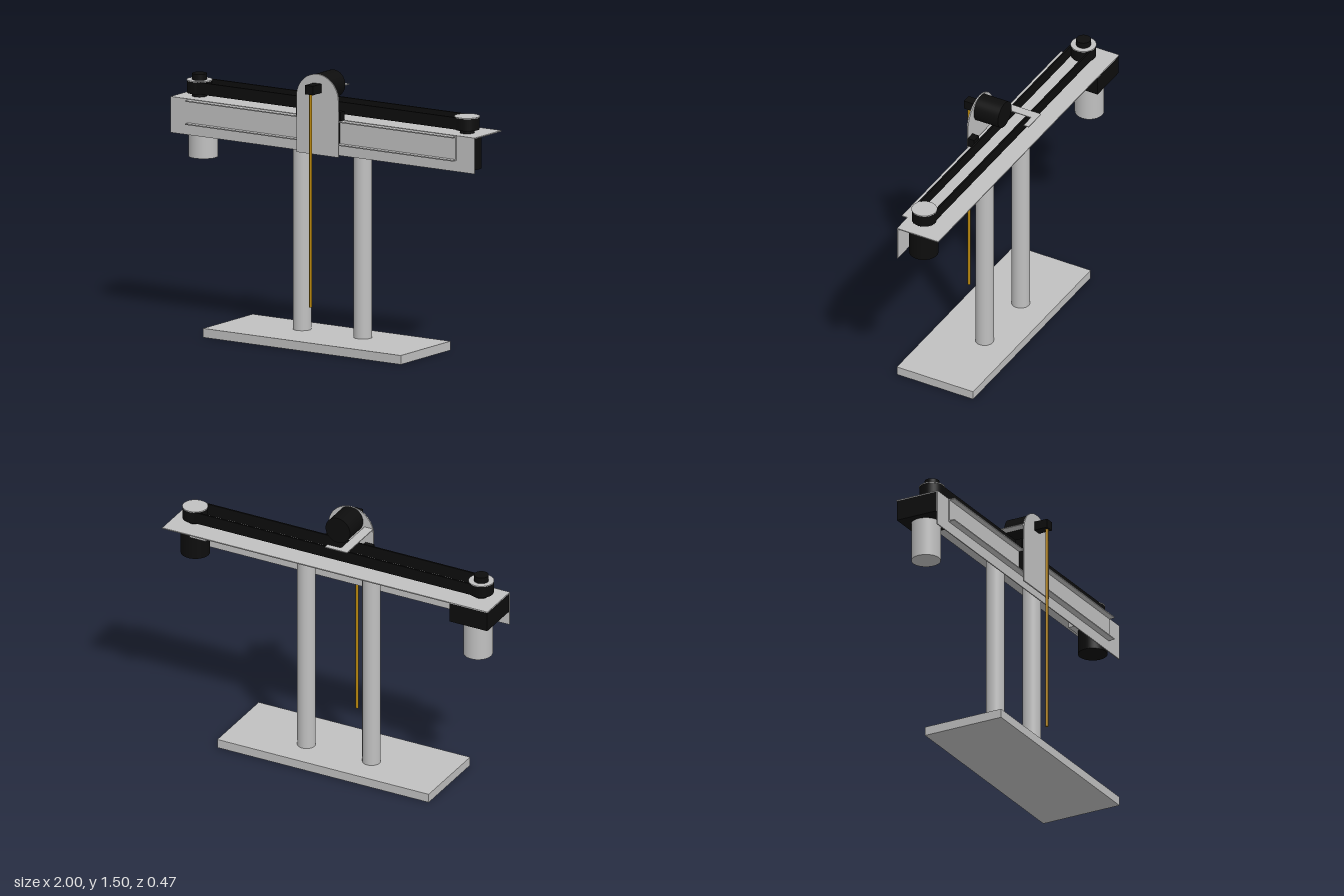
import * as THREE from 'three';

export function createModel() {
  const model = new THREE.Group();
  const paint = (name, color) => Object.assign(new THREE.MeshStandardMaterial({ color }), { name });
  const grey = paint('silver grey', 0xc0c0c0);
  const black = paint('black', 0x0d0d0d);
  const brass = paint('brass', 0xb8860b);

  const add = (name, geometry, material, parent = model) => {
    const mesh = new THREE.Mesh(geometry, material);
    mesh.name = name;
    parent.add(mesh);
    return mesh;
  };
  // Box given by its limits on each axis
  const box = (name, material, [x0, x1], [y0, y1], [z0, z1], parent) => {
    const g = new THREE.BoxGeometry(x1 - x0, y1 - y0, z1 - z0);
    g.translate((x0 + x1) / 2, (y0 + y1) / 2, (z0 + z1) / 2);
    return add(name, g, material, parent);
  };
  // Upright cylinder between two heights
  const post = (name, material, r, x, z, y0, y1, parent) => {
    const g = new THREE.CylinderGeometry(r, r, y1 - y0, 40);
    g.translate(x, (y0 + y1) / 2, z);
    return add(name, g, material, parent);
  };

  // Stand
  box('base', grey, [-0.65, 0.65], [0, 0.05], [-0.237, 0.237]);
  for (const x of [-0.2, 0.2]) post('column', grey, 0.05, x, -0.055, 0.05, 1.255);

  // Angle beam
  box('beamTop', grey, [-1, 1], [1.253, 1.259], [-0.217, 0.04]);
  box('beamFront', grey, [-1, 1], [1.06, 1.253], [0.034, 0.04]);

  // Channel rail on the beam front
  const rail = new THREE.Group();
  rail.name = 'rail';
  model.add(rail);
  box('railWeb', grey, [-0.88, 0.88], [1.122, 1.256], [0.04, 0.046], rail);
  for (const y of [1.122, 1.25])
    box('railFlange', grey, [-0.88, 0.88], [y, y + 0.006], [0.046, 0.077], rail);

  // Drive at the right end, idler at the left end
  box('gearbox', black, [-0.998, -0.765], [1.14, 1.253], [-0.215, 0.033]);
  post('driveMotor', grey, 0.08, -0.88, -0.1, 0.92, 1.14);
  post('idlerHousing', black, 0.08, 0.88, -0.06, 1.065, 1.253);
  box('idlerBracket', grey, [0.77, 0.87], [1.2, 1.253], [-0.148, 0.0]);

  // Pulleys
  const pulleyZ = -0.063;
  for (const x of [-0.88, 0.88]) {
    post('pulleyShaft', black, 0.04, x, pulleyZ, 1.259, 1.28);
    post('pulley', black, 0.068, x, pulleyZ, 1.279, 1.346);
    post('pulleyCap', grey, 0.07, x, pulleyZ, 1.346, 1.351);
  }
  post('driveShaftEnd', black, 0.04, -0.88, pulleyZ, 1.351, 1.385);

  // Belt: a hollow stadium loop
  const stadium = (path, r) => {
    path.absarc(0.88, 0, r, -Math.PI / 2, Math.PI / 2, false);
    path.absarc(-0.88, 0, r, Math.PI / 2, Math.PI * 1.5, false);
    path.closePath();
    return path;
  };
  const beltShape = stadium(new THREE.Shape(), 0.063);
  beltShape.holes.push(stadium(new THREE.Path(), 0.053));
  const belt = new THREE.ExtrudeGeometry(beltShape, { depth: 0.066, bevelEnabled: false, curveSegments: 20 });
  belt.rotateX(-Math.PI / 2).translate(0, 1.282, pulleyZ);
  add('belt', belt, black);

  // Carriage with round-topped plate
  const carriage = new THREE.Group();
  carriage.name = 'carriage';
  model.add(carriage);
  const plate = new THREE.Shape();
  plate.moveTo(-0.138, 1.06);
  plate.lineTo(0.138, 1.06);
  plate.lineTo(0.138, 1.367);
  plate.absarc(0, 1.367, 0.138, 0, Math.PI, false);
  plate.closePath();
  const plateGeo = new THREE.ExtrudeGeometry(plate, { depth: 0.008, bevelEnabled: false, curveSegments: 24 });
  plateGeo.translate(0, 0, 0.082);
  add('carriagePlate', plateGeo, grey, carriage);
  box('slider', black, [-0.12, 0.12], [1.13, 1.248], [0.048, 0.082], carriage);
  for (const x of [-0.118, 0.118])
    box('guideBlock', black, [x - 0.027, x + 0.027], [1.26, 1.31], [0.04, 0.081], carriage);

  // Hooked arm reaching over the belt
  const arm = new THREE.Shape([
    [-0.137, -0.082], [-0.083, -0.082], [-0.083, 0.185], [0, 0.185], [0, 0.217], [-0.137, 0.217],
  ].map(([x, y]) => new THREE.Vector2(x, y)));
  const armGeo = new THREE.ExtrudeGeometry(arm, { depth: 0.005, bevelEnabled: false });
  armGeo.rotateX(-Math.PI / 2).translate(0, 1.397, 0);
  add('arm', armGeo, grey, carriage);

  // Carriage motor, clamp and hanging rod
  const motor = new THREE.CylinderGeometry(0.075, 0.075, 0.15, 40);
  motor.rotateX(Math.PI / 2).translate(0, 1.43, 0.007);
  add('carriageMotor', motor, black, carriage);
  box('rodClamp', black, [-0.026, 0.026], [1.405, 1.455], [0.09, 0.17], carriage);
  post('rod', brass, 0.008, 0, 0.153, 0.227, 1.406, carriage);

  return model;
}
